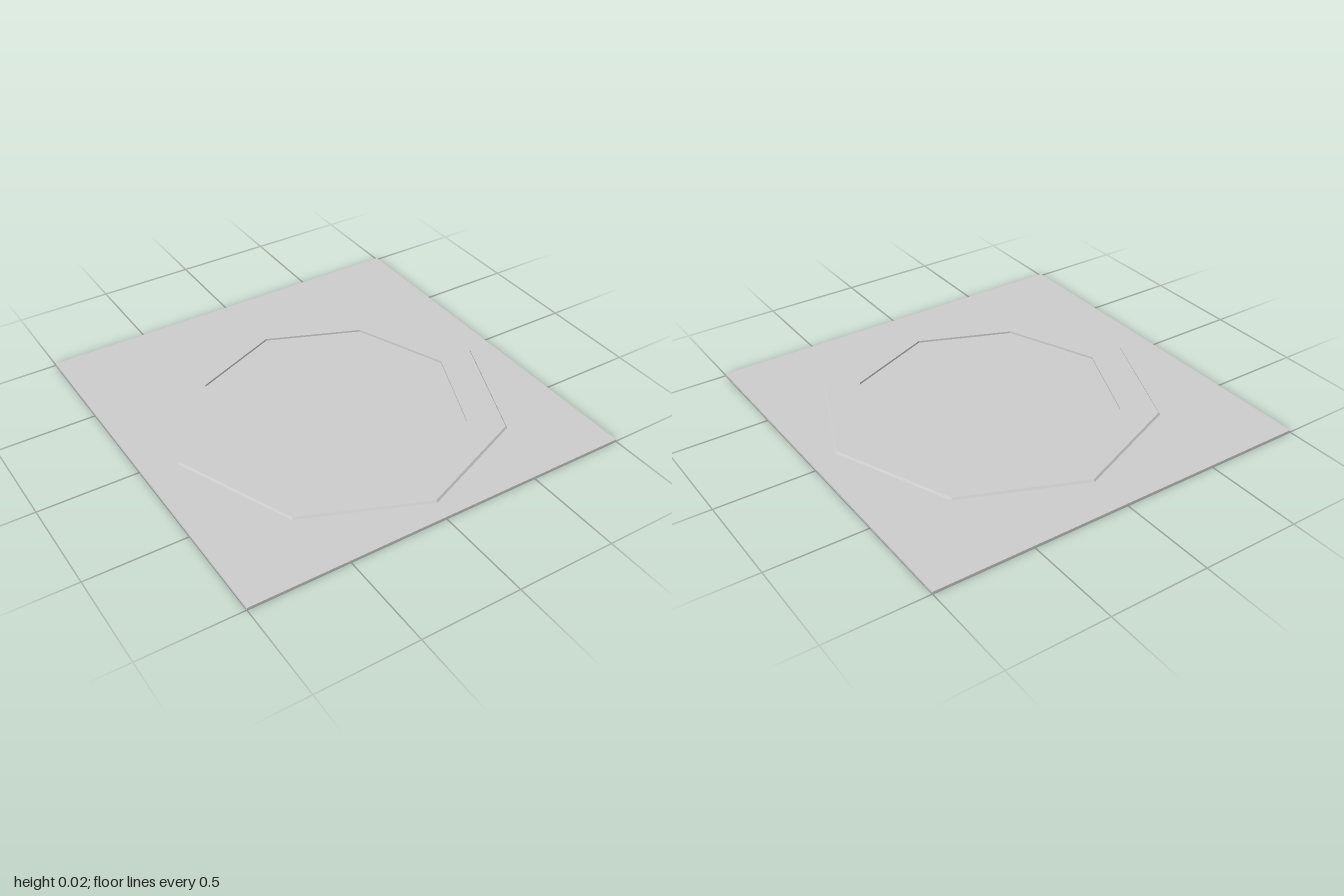
import * as THREE from 'three';

export function createModel() {
  const model = new THREE.Group();
  const material = new THREE.MeshStandardMaterial({ color: 0xcccccc, flatShading: true });
  const sides = 8, outer = 0.85, inner = 0.657;
  const sheet = 0.011, top = 0.021;
  const cx = 0.02, cz = 0.055;

  function add(name, geometry, x = 0, y = 0, z = 0) {
    const mesh = new THREE.Mesh(geometry, material);
    mesh.name = name;
    mesh.position.set(x, y, z);
    model.add(mesh);
  }

  // Square sheet with an octagonal opening; its walls form the groove's outer side
  const square = new THREE.Shape([[-1, -1], [1, -1], [1, 1], [-1, 1]].map(p => new THREE.Vector2(...p)));
  const opening = [];
  for (let i = 0; i < sides; i++) {
    const a = -i / sides * Math.PI * 2;
    opening.push(new THREE.Vector2(cx + outer * Math.cos(a), -cz + outer * Math.sin(a)));
  }
  square.holes.push(new THREE.Path(opening));
  const plate = new THREE.ExtrudeGeometry(square, { depth: sheet, bevelEnabled: false });
  plate.rotateX(-Math.PI / 2);
  add('basePlate', plate);

  // Raised octagonal band with a slightly sloped outer edge, hollow underneath
  const profile = [[inner, sheet], [outer, sheet], [outer - 0.008, top], [inner, top], [inner, sheet]];
  add('raisedRing', new THREE.LatheGeometry(profile.map(p => new THREE.Vector2(...p)), sides), cx, 0, cz);

  // Octagonal floor inside the ring, level with the sheet
  add('centrePanel', new THREE.CylinderGeometry(inner, inner, sheet, sides), cx, sheet / 2, cz);

  return model;
}
